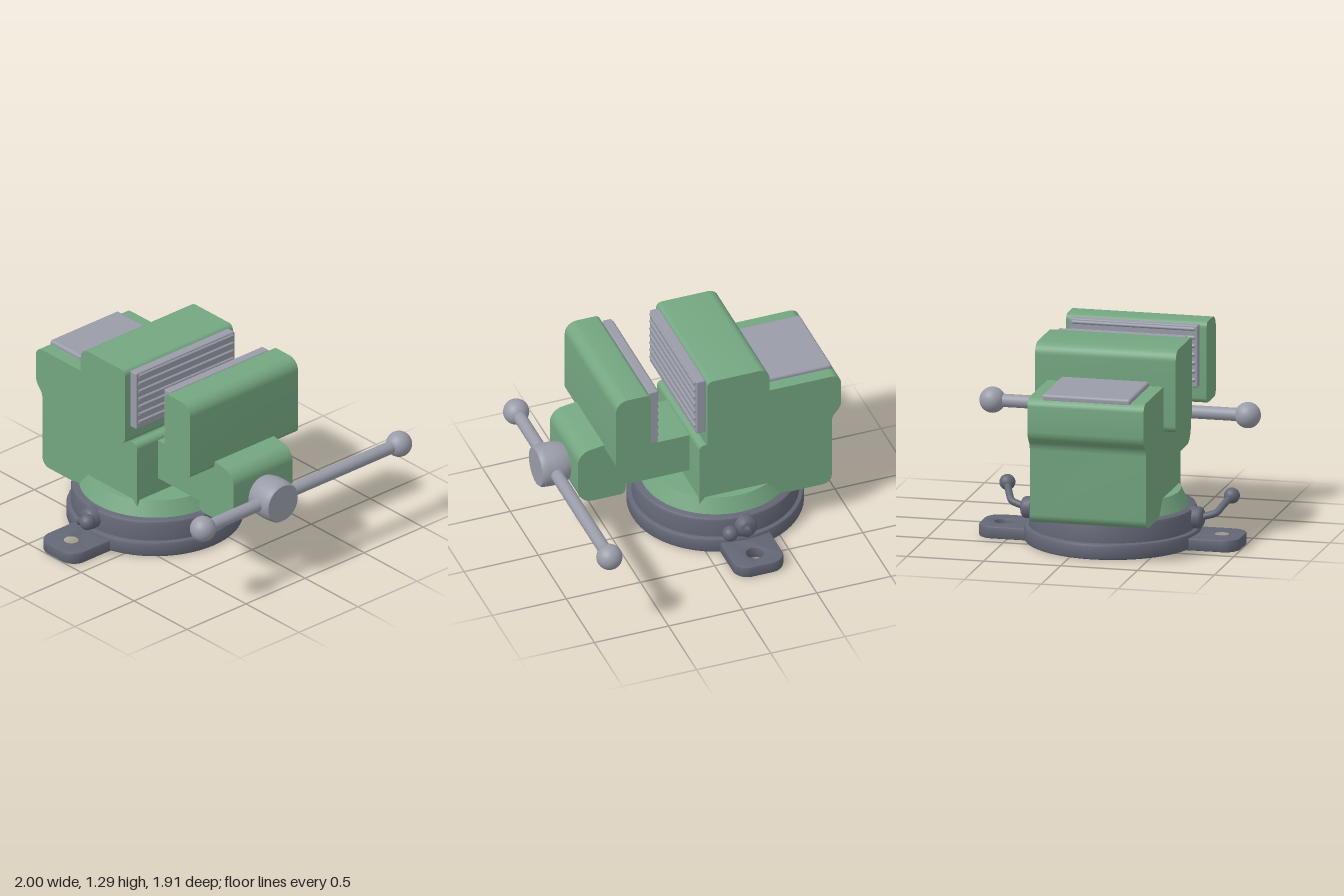
import * as THREE from 'three';
import { toCreasedNormals } from 'three/addons/utils/BufferGeometryUtils.js';
import { RoundedBoxGeometry } from 'three/addons/geometries/RoundedBoxGeometry.js';

const CX = -0.15; // centre line of the vise
const BZ = -0.25; // centre of the swivel base

const green = new THREE.MeshStandardMaterial({ name: 'green paint', color: 0x74a681 });
const steel = new THREE.MeshStandardMaterial({ name: 'light steel', color: 0x999ca8 });
const iron = new THREE.MeshStandardMaterial({ name: 'dark iron', color: 0x636775 });

// Polygon of [x, y, cornerRadius] with rounded corners
function roundedShape(pts) {
  const shape = new THREE.Shape();
  const n = pts.length;
  pts.forEach(([x, y, r = 0], i) => {
    const p = new THREE.Vector2(x, y);
    const toward = (q) => new THREE.Vector2(q[0], q[1]).sub(p).setLength(r).add(p);
    const a = toward(pts[(i + n - 1) % n]);
    const b = toward(pts[(i + 1) % n]);
    if (i === 0) shape.moveTo(a.x, a.y);
    else shape.lineTo(a.x, a.y);
    if (r > 0) {
      // circular-looking corner by a cubic curve
      const k = 0.55;
      const c1 = a.clone().lerp(p, k), c2 = b.clone().lerp(p, k);
      shape.bezierCurveTo(c1.x, c1.y, c2.x, c2.y, b.x, b.y);
    }
  });
  shape.closePath();
  return shape;
}

// Side profile of [z, y, radius], extruded across x and centred on the vise
function sideProfile(pts, width) {
  const geo = new THREE.ExtrudeGeometry(roundedShape(pts), { depth: width, bevelEnabled: false, curveSegments: 10 });
  geo.translate(0, 0, -width / 2).rotateY(-Math.PI / 2).translate(CX, 0, 0);
  return toCreasedNormals(geo, 0.5);
}

// Turned part from [radius, height] pairs, bottom to top
function turned(pts, segments = 64) {
  return toCreasedNormals(new THREE.LatheGeometry(pts.map(([r, y]) => new THREE.Vector2(r, y)), segments), 0.6);
}

export function createModel() {
  const model = new THREE.Group();
  model.name = 'benchVise';
  const add = (name, geo, mat, x = 0, y = 0, z = 0) => {
    const mesh = new THREE.Mesh(geo, mat);
    mesh.name = name;
    mesh.position.set(x, y, z);
    model.add(mesh);
    return mesh;
  };

  // Swivel base
  add('baseDisc', turned([[0, 0], [0.54, 0], [0.554, 0.006], [0.56, 0.02], [0.56, 0.085], [0.554, 0.099], [0.54, 0.105], [0, 0.105]]), iron, CX, 0, BZ);
  add('swivelRing', turned([[0, 0.1], [0.53, 0.1], [0.53, 0.22], [0.524, 0.234], [0.51, 0.242], [0, 0.242]]), iron, CX, 0, BZ);
  add('swivelCone', turned([[0, 0.23], [0.485, 0.23], [0.432, 0.34], [0, 0.34]]), green, CX, 0, BZ);

  for (const s of [1, -1]) {
    const side = s > 0 ? 'left' : 'right';

    // Mounting ear with bolt hole
    const ear = roundedShape([[s * 0.4, -0.168], [s * 0.85, -0.168, 0.1], [s * 0.85, 0.168, 0.1], [s * 0.4, 0.168]]);
    const hole = new THREE.Path();
    hole.absarc(s * 0.71, 0, 0.056, 0, Math.PI * 2, true);
    ear.holes.push(hole);
    const earGeo = new THREE.ExtrudeGeometry(ear, {
      depth: 0.06, bevelThickness: 0.01, bevelSize: 0.01, bevelOffset: -0.01, bevelSegments: 2, curveSegments: 16,
    });
    earGeo.rotateX(-Math.PI / 2);
    add(side + 'MountingEar', toCreasedNormals(earGeo, 0.6), iron, CX, 0.01, BZ);

    // Swivel lock: bolt, bent lever and ball
    const bolt = turned([[0, 0], [0.07, 0], [0.07, 0.06], [0.062, 0.076], [0.045, 0.086], [0, 0.086]], 32);
    bolt.rotateZ(-s * Math.PI / 2);
    add(side + 'LockBolt', bolt, iron, CX + s * 0.505, 0.178, BZ);
    const path = new THREE.CatmullRomCurve3([
      [0.56, 0.178, -0.25], [0.61, 0.19, -0.24], [0.665, 0.207, -0.22], [0.692, 0.24, -0.175], [0.73, 0.288, -0.08],
    ].map(([x, y, z]) => new THREE.Vector3(CX + s * x, y, z)));
    add(side + 'LockLever', new THREE.TubeGeometry(path, 24, 0.023, 12), iron);
    add(side + 'LockBall', new THREE.SphereGeometry(0.051, 24, 16), iron, CX + s * 0.73, 0.288, -0.075);
  }

  // Fixed body with anvil
  add('fixedBody', sideProfile([
    [0, 0.235], [0, 0.745, 0.035], [-0.055, 0.745, 0.01], [-0.075, 0.79], [-0.2, 1.06],
    [-0.955, 1.06, 0.06], [-0.955, 0.815, 0.03], [-0.893, 0.745, 0.03], [-0.893, 0.235, 0.06],
  ], 0.755), green);
  add('fixedJaw', sideProfile([
    [-0.025, 0.762, 0.04], [-0.025, 1.292, 0.035], [-0.442, 1.292, 0.07], [-0.442, 0.762, 0.04],
  ], 0.915), green);
  add('anvilPlate', new RoundedBoxGeometry(0.577, 0.05, 0.52, 3, 0.018), steel, CX + 0.003, 1.062, -0.668);

  // Sliding bar and moving jaw
  add('slideBar', new THREE.BoxGeometry(0.4, 0.272, 0.56), green, CX, 0.576, 0.22);
  add('movingBody', sideProfile([
    [0.45, 0.41, 0.035], [0.45, 0.84], [0.56, 0.825], [0.77, 0.795, 0.08], [0.77, 0.41, 0.1],
  ], 0.5), green);
  add('movingJaw', sideProfile([
    [0.592, 0.765, 0.04], [0.592, 1.292, 0.08], [0.355, 1.292, 0.035], [0.355, 0.765, 0.035],
  ], 0.915), green);

  // Jaw plates with horizontal grip ridges
  const ridge = new THREE.CylinderGeometry(0.012, 0.012, 0.8, 10).rotateZ(Math.PI / 2);
  for (const [name, z, face] of [['fixedJawPlate', 0.004, 0.034], ['movingJawPlate', 0.326, 0.295]]) {
    add(name, new RoundedBoxGeometry(0.834, 0.402, 0.062, 2, 0.008), steel, CX + 0.003, 1.081, z);
    for (let i = 0; i < 7; i++) add(name + 'Ridge', ridge, steel, CX + 0.003, 0.93 + i * 0.055, face);
  }

  // Screw head and sliding handle
  const head = turned([[0, 0], [0.12, 0], [0.128, 0.02], [0.137, 0.06], [0.139, 0.1], [0.137, 0.155], [0.133, 0.185], [0.124, 0.197], [0, 0.197]], 48);
  head.rotateX(Math.PI / 2);
  add('screwHead', head, steel, CX, 0.577, 0.763);
  add('handleBar', new THREE.CylinderGeometry(0.042, 0.042, 1.66, 24).rotateZ(Math.PI / 2), steel, 0.083, 0.577, 0.867);
  for (const x of [-0.746, 0.915]) add('handleBall', new THREE.SphereGeometry(0.083, 32, 20), steel, x, 0.577, 0.867);

  return model;
}
